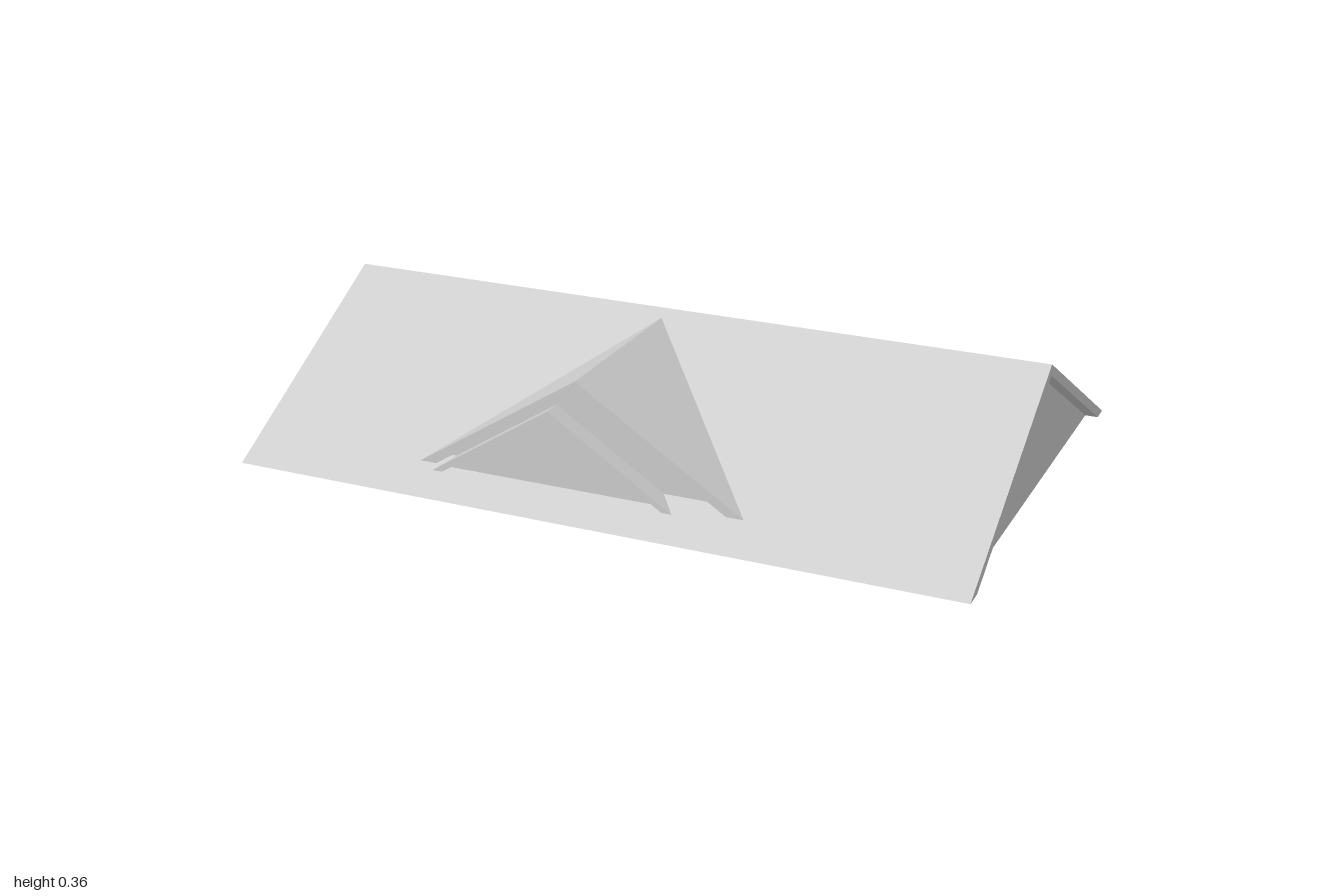
import * as THREE from 'three';

const RIDGE = 0.363, HALF_DEPTH = 0.645;
const material = new THREE.MeshStandardMaterial({ color: 0xcccccc, flatShading: true, side: THREE.DoubleSide });

// z of the front main slope at height y
const slopeZ = (y) => HALF_DEPTH * (1 - y / RIDGE);

function polygon(points) {
  return new THREE.Shape(points.map(([x, y]) => new THREE.Vector2(x, y)));
}

// Upside-down V of a pitched roof; t is its vertical thickness
function chevron(cx, base, half, top, t) {
  const inner = half * (1 - t / (top - base));
  return polygon([
    [cx - half, base], [cx - inner, base], [cx, top - t],
    [cx + inner, base], [cx + half, base], [cx, top],
  ]);
}

// Triangle filling the space below the V
function gable(cx, base, half, top, t) {
  const inner = half * (1 - t / (top - base));
  return polygon([[cx - inner, base], [cx + inner, base], [cx, top - t]]);
}

function part(name, geometry) {
  const mesh = new THREE.Mesh(geometry, material);
  mesh.name = name;
  return mesh;
}

// Prism along x, centred
function alongX(shape, length) {
  return new THREE.ExtrudeGeometry(shape, { depth: length, bevelEnabled: false })
    .translate(0, 0, -length / 2)
    .rotateY(Math.PI / 2);
}

// Prism from frontZ backwards, its rear cut off by the main slope
function ontoSlope(shape, frontZ) {
  const geometry = new THREE.ExtrudeGeometry(shape, { depth: 1, bevelEnabled: false });
  const p = geometry.attributes.position;
  for (let i = 0; i < p.count; i++) {
    p.setZ(i, p.getZ(i) > 0.5 ? frontZ : Math.min(frontZ, slopeZ(p.getY(i))));
  }
  geometry.computeVertexNormals();
  return geometry;
}

// Dormer roof with a gable wall set back under it
function dormer(name, cx, half, top, t, frontZ, recess) {
  const group = new THREE.Group();
  group.name = name;
  const base = RIDGE * (1 - frontZ / HALF_DEPTH);
  group.add(
    part(name + 'Roof', ontoSlope(chevron(cx, base, half, top, t), frontZ)),
    part(name + 'Wall', ontoSlope(wallShape(cx, base, half, top, t, frontZ - recess), frontZ - recess)),
  );
  return group;
}

// Gable triangle whose foot is trimmed where the wall meets the main slope
function wallShape(cx, base, half, top, t, wallZ) {
  const foot = RIDGE * (1 - wallZ / HALF_DEPTH);
  return gable(cx, foot, half * (top - foot) / (top - base), top, t);
}

export function createModel() {
  const model = new THREE.Group();
  model.name = 'gabledRoof';

  // Main roof and its recessed gable ends
  const main = [0, 0, HALF_DEPTH, RIDGE, 0.03];
  model.add(part('mainRoof', alongX(chevron(...main), 2)));
  model.add(part('mainGableBody', alongX(gable(...main), 1.93)));

  // Large dormer and the small one stepping out of it
  model.add(dormer('largeDormer', -0.055, 0.453, 0.345, 0.03, 0.547, 0.03));
  model.add(dormer('smallDormer', -0.123, 0.338, 0.262, 0.018, 0.567, 0.017));

  return model;
}
